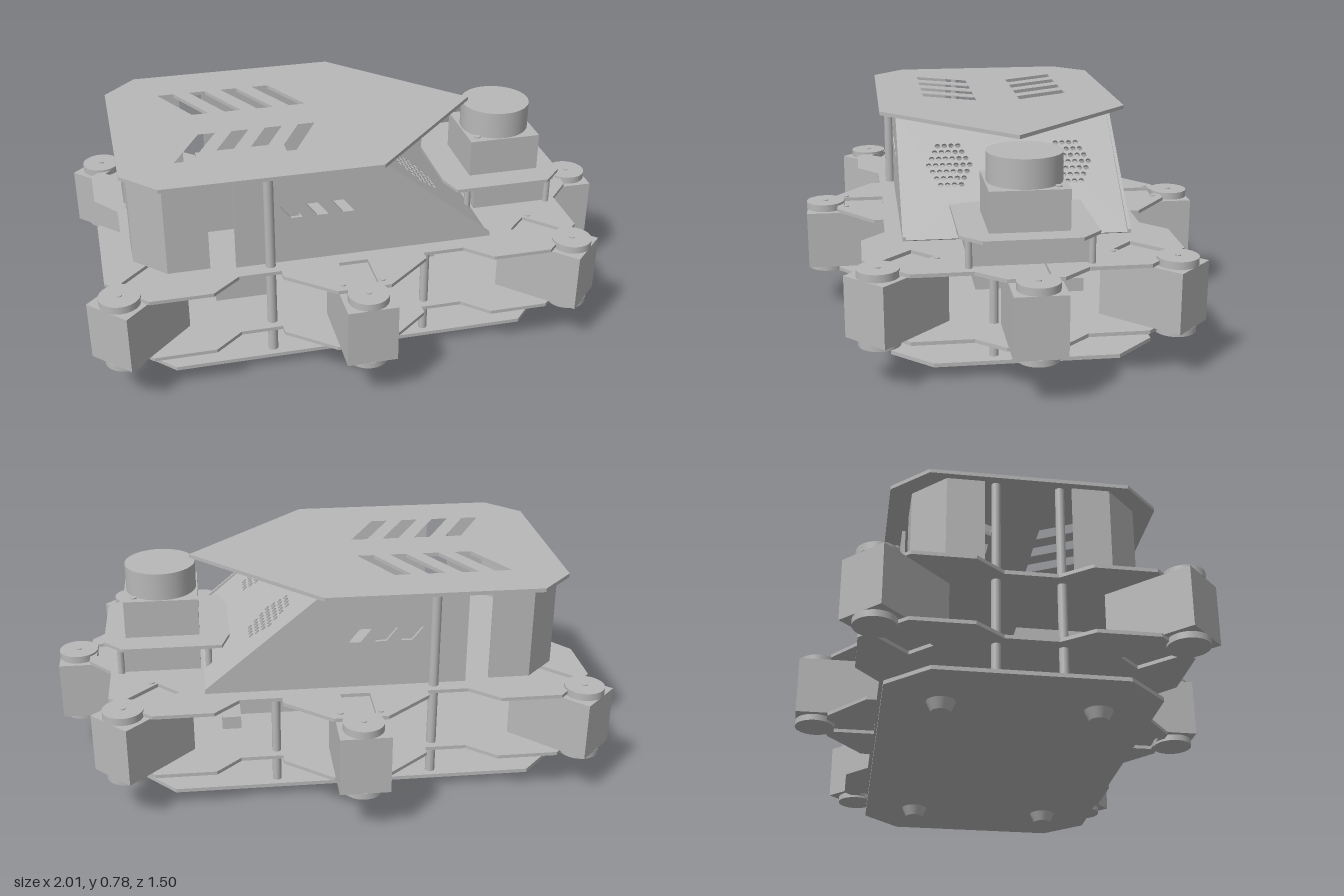
import * as THREE from 'three';

export function createModel() {
  const model = new THREE.Group();
  const grey = new THREE.MeshStandardMaterial({ color: 0xb8b8b8 });
  grey.name = 'light grey';

  const add = (name, geo, parent = model) => {
    const m = new THREE.Mesh(geo, grey);
    m.name = name;
    parent.add(m);
    return m;
  };
  // box given by its extents
  const box = (name, x0, x1, y0, y1, z0, z1, parent) =>
    add(name, new THREE.BoxGeometry(x1 - x0, y1 - y0, z1 - z0), parent)
      .position.set((x0 + x1) / 2, (y0 + y1) / 2, (z0 + z1) / 2);
  const cyl = (name, x, z, y0, y1, rTop, rBottom = rTop, parent = model, seg = 32) =>
    add(name, new THREE.CylinderGeometry(rTop, rBottom, y1 - y0, seg), parent)
      .position.set(x, (y0 + y1) / 2, z);
  const path = (pts) => new THREE.Path(pts.map(([a, b]) => new THREE.Vector2(a, b)));
  const extrude = (pts, holes, depth) => {
    const s = new THREE.Shape(pts.map(([a, b]) => new THREE.Vector2(a, b)));
    s.holes = holes;
    return new THREE.ExtrudeGeometry(s, { depth, bevelEnabled: false, curveSegments: 4 });
  };
  const mirrorZ = (half) => [...half, ...half.filter(p => p[1] !== 0).map(([x, z]) => [x, -z]).reverse()];
  // horizontal plate from an (x, z) outline
  const plate = (name, half, top, t, holes = []) => {
    const g = extrude(mirrorZ(half), holes, t);
    g.rotateX(Math.PI / 2);
    add(name, g).position.y = top;
  };

  // base plate and tapered feet
  plate('basePlate', [[-0.855, 0.32], [-0.72, 0.46], [0.58, 0.46], [0.71, 0.32]], 0.05, 0.014);
  for (const x of [-0.61, 0.46]) for (const z of [-0.265, 0.265]) {
    cyl('foot', x, z, 0, 0.037, 0.05, 0.033);
  }

  // leg motors: axle position and outward direction
  const legs = [[0.93, 0, 0]];
  for (const s of [-1, 1]) {
    legs.push([-0.07, s * 0.68, -s * Math.PI / 2]);
    legs.push([0.745, s * 0.5, -s * Math.PI / 4]);
    legs.push([-0.895, s * 0.5, -s * Math.PI * 3 / 4]);
  }
  const slots = legs.map(([x, z, a]) => path(
    [[-0.22, -0.053], [-0.07, -0.053], [-0.07, 0.053], [-0.22, 0.053]].map(([r, w]) =>
      [x + r * Math.cos(a) + w * Math.sin(a), z - r * Math.sin(a) + w * Math.cos(a)])));
  for (const [x, z, a] of legs) {
    const leg = new THREE.Group();
    leg.name = 'legMotor';
    leg.position.set(x, 0, z);
    leg.rotation.y = a;
    box('motorBody', -0.25, 0.07, 0.171, 0.386, -0.089, 0.089, leg);
    cyl('upperHorn', 0, 0, 0.386, 0.413, 0.072, 0.072, leg);
    cyl('lowerHorn', 0, 0, 0.148, 0.171, 0.072, 0.072, leg);
    cyl('hornScrew', 0, 0, 0.413, 0.417, 0.01, 0.01, leg, 12);
    model.add(leg);
  }

  // the two star-shaped chassis plates
  const chassis = [[-0.86, 0.09], [-0.94, 0.19], [-0.94, 0.4], [-0.8, 0.55], [-0.58, 0.55],
    [-0.48, 0.465], [-0.33, 0.465], [-0.33, 0.5], [-0.165, 0.635], [0.025, 0.635], [0.19, 0.5],
    [0.19, 0.465], [0.34, 0.465], [0.43, 0.55], [0.645, 0.55], [0.8, 0.4], [0.8, 0.19], [0.885, 0.095]];
  plate('lowerChassisPlate', chassis, 0.17, 0.013, slots);
  plate('upperChassisPlate', chassis, 0.405, 0.013, slots);

  // spacer posts
  for (const s of [-1, 1]) {
    cyl('tallPost', -0.36, s * 0.42, 0.05, 0.767, 0.018, 0.018, model, 16);
    cyl('rearPost', -0.81, s * 0.11, 0.05, 0.767, 0.016, 0.016, model, 16);
    cyl('sidePost', 0.21, s * 0.42, 0.05, 0.392, 0.016, 0.016, model, 16);
    cyl('frontPost', 0.66, s * 0.11, 0.05, 0.392, 0.016, 0.016, model, 16);
    cyl('shortPost', 0.22, s * 0.23, 0.05, 0.158, 0.014, 0.014, model, 16);
    cyl('shortPost', -0.51, s * 0.23, 0.05, 0.158, 0.014, 0.014, model, 16);
    for (const x of [-0.14, 0, 0.36, 0.65]) {
      cyl('plateScrew', x, s * (x < 0.2 ? 0.6 : 0.3), 0.405, 0.409, 0.01, 0.01, model, 10);
    }
  }

  // inner equipment
  box('frontBattery', 0.055, 0.34, 0.17, 0.392, -0.14, 0.14);
  box('rearBattery', -0.54, -0.33, 0.17, 0.37, 0, 0.25);
  box('computer', -0.545, -0.2, 0.405, 0.595, -0.14, 0.14);
  box('powerBoard', 0.2, 0.44, 0.08, 0.155, -0.32, -0.14);
  box('powerConnector', 0.33, 0.4, 0.17, 0.22, -0.25, -0.14);
  box('rearModule', -0.57, -0.4, 0.05, 0.15, -0.1, 0.1);
  box('controlBoard', -0.2, 0.12, 0.062, 0.076, -0.08, 0.07);
  box('controlChip', -0.08, 0.0, 0.076, 0.1, -0.04, 0.03);
  box('sideModule', -0.3, -0.15, 0.05, 0.13, 0.1, 0.22);

  // roof with slanted vents
  const vents = [];
  for (const s of [-1, 1]) for (let i = 0; i < 4; i++) {
    const x = -0.66 + i * 0.122;
    vents.push(path([[x, s * 0.285], [x + 0.062, s * 0.285], [x + 0.17, s * 0.085], [x + 0.108, s * 0.085]]));
  }
  plate('roof', [[-0.855, 0.34], [-0.735, 0.465], [0.04, 0.465], [0.495, 0]], 0.781, 0.014, vents);

  // side walls with slits, and rear corner walls
  const slits = [0, 1, 2].map(i => -0.32 + i * 0.093).map(x =>
    path([[x, 0.63], [x + 0.042, 0.63], [x + 0.082, 0.58], [x + 0.04, 0.58]]));
  for (const s of [-1, 1]) {
    add('sideWall', extrude([[-0.48, 0.405], [0.46, 0.405], [0.46, 0.42], [0.04, 0.767], [-0.48, 0.767]],
      slits, 0.012)).position.z = s * 0.4 - 0.006;
    const corner = [[-0.57, 0.39], [-0.72, 0.39], [-0.83, 0.28], [-0.83, 0.15],
      [-0.82, 0.15], [-0.82, 0.276], [-0.716, 0.38], [-0.57, 0.38]].map(([x, z]) => [x, z * s]);
    const g = extrude(corner, [], 0.362);
    g.rotateX(Math.PI / 2);
    add('rearCornerWall', g).position.y = 0.767;
  }

  // sloped front panel with honeycomb grilles
  const bottom = new THREE.Vector3(0.46, 0.41, 0);
  const up = new THREE.Vector3(0.04, 0.767, 0).sub(bottom);
  const len = up.length();
  up.normalize();
  const across = new THREE.Vector3(0, 0, -1);
  const normal = across.clone().cross(up);
  const grille = [];
  for (const c of [-0.22, 0.22]) for (let q = -3; q <= 3; q++) for (let r = -3; r <= 3; r++) {
    if (Math.abs(q + r) > 3) continue;
    const h = new THREE.Path();
    h.absarc(c + 0.025 * (q + r / 2), 0.315 + 0.029 * r, 0.0105, 0, Math.PI * 2, true);
    grille.push(h);
  }
  const panel = extrude([[-0.394, 0], [0.394, 0], [0.394, len], [-0.394, len]], grille, 0.01);
  panel.applyMatrix4(new THREE.Matrix4().makeBasis(across, up, normal)
    .setPosition(bottom.clone().addScaledVector(normal, -0.012)));
  add('grillePanel', panel);

  // scanner on its raised shelf
  plate('scannerShelf', [[0.36, 0.14], [0.39, 0.235], [0.75, 0.235], [0.82, 0.165]], 0.513, 0.012);
  box('shelfSupport', 0.47, 0.75, 0.405, 0.501, -0.2, 0.2);
  for (const s of [-1, 1]) for (const x of [0.44, 0.76]) {
    cyl('shelfPost', x, s * 0.205, 0.405, 0.501, 0.012, 0.012, model, 12);
  }
  box('scannerBase', 0.47, 0.742, 0.513, 0.655, -0.136, 0.136);
  cyl('scannerHead', 0.605, 0, 0.655, 0.757, 0.13, 0.13, model, 48);
  for (const s of [-1, 1]) cyl('scannerScrew', 0.605 + s * 0.1, -s * 0.1, 0.655, 0.66, 0.012, 0.012, model, 12);

  return model;
}
